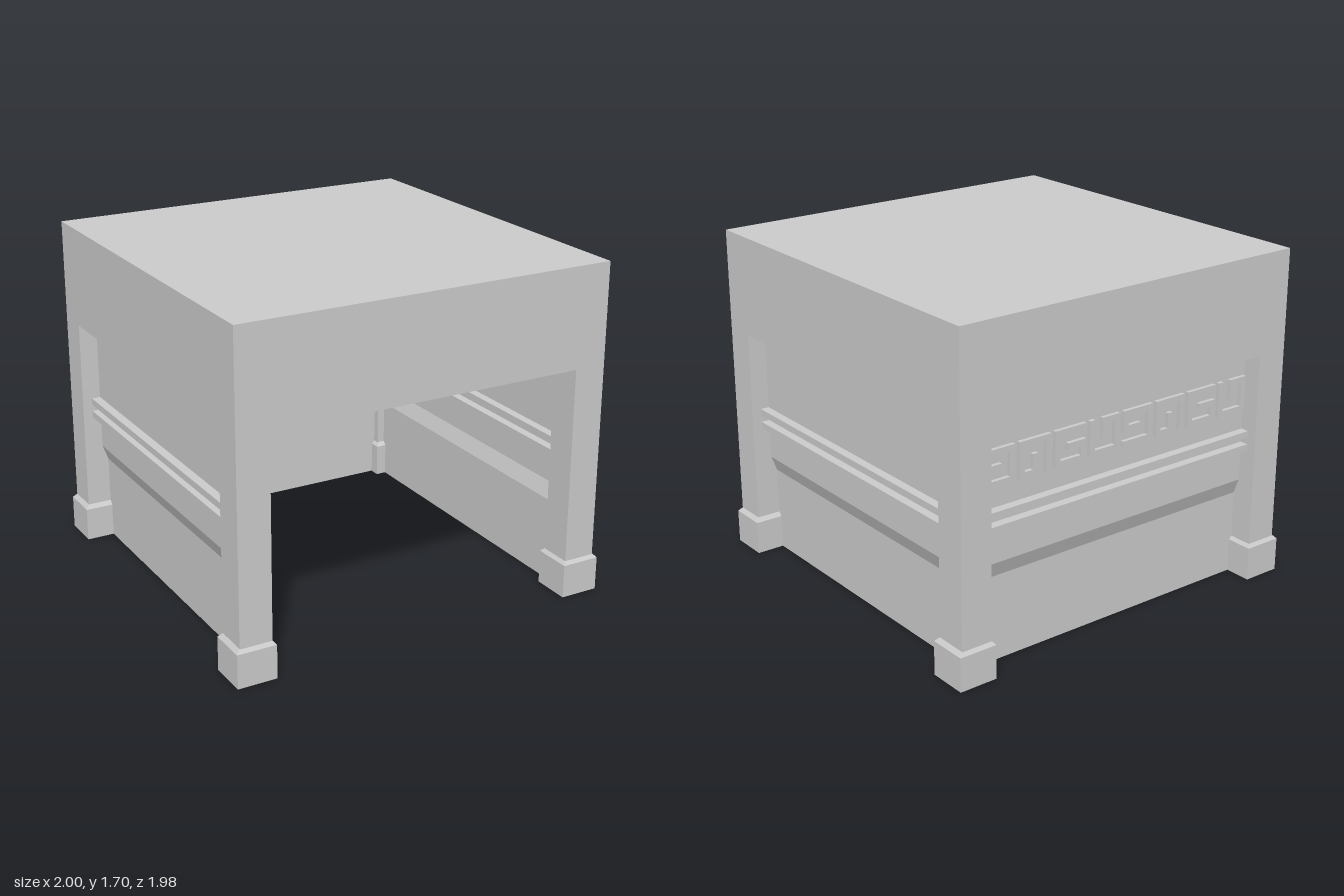
import * as THREE from 'three';

const material = new THREE.MeshStandardMaterial({ color: 0xcccccc, flatShading: true });
const sheet = new THREE.MeshStandardMaterial({ color: 0xcccccc, flatShading: true, side: THREE.DoubleSide });

function add(parent, name, geometry, x = 0, y = 0, z = 0, mat = material) {
  const mesh = new THREE.Mesh(geometry, mat);
  mesh.name = name;
  mesh.position.set(x, y, z);
  parent.add(mesh);
  return mesh;
}

// Folded wall section as [outward offset, height]: skirt, sloped step, two ribs, upper field
const wallProfile = [
  [-0.03, 0], [-0.03, 0.43], [0, 0.51], [0, 0.68], [0.045, 0.68], [0.045, 0.715], [0, 0.715],
  [0, 0.75], [0.045, 0.75], [0.045, 0.785], [0, 0.785], [0, 1.19],
];

function wallGeometry(length) {
  const rows = wallProfile.length;
  const geometry = new THREE.PlaneGeometry(length, 1, 1, rows - 1);
  const pos = geometry.attributes.position;
  for (let i = 0; i < pos.count; i++) {
    const [out, y] = wallProfile[rows - 1 - Math.floor(i / 2)];
    pos.setY(i, y);
    pos.setZ(i, out);
  }
  const flat = geometry.toNonIndexed();
  flat.computeVertexNormals();
  return flat;
}

// Square spiral used in the fretwork
function fretGeometry() {
  const points = [
    [0.09, 0.09], [-0.09, 0.09], [-0.09, -0.09], [0.09, -0.09], [0.09, 0.015], [-0.015, 0.015],
    [-0.015, -0.015], [0.06, -0.015], [0.06, -0.06], [-0.06, -0.06], [-0.06, 0.06], [0.09, 0.06],
  ].map(([x, y]) => new THREE.Vector2(x, y));
  return new THREE.ExtrudeGeometry(new THREE.Shape(points), { depth: 0.02, bevelEnabled: false });
}

export function createModel() {
  const model = new THREE.Group();
  model.name = 'table';

  // Thick top block
  add(model, 'top', new THREE.BoxGeometry(1.96, 0.51, 1.95), 0, 1.445, 0);

  // Four legs on stepped feet
  const bevel = new THREE.CylinderGeometry(0.0825 * Math.SQRT2, 0.1 * Math.SQRT2, 0.02, 4);
  bevel.rotateY(Math.PI / 4);
  for (const sx of [-1, 1]) {
    for (const sz of [-1, 1]) {
      const corner = new THREE.Group();
      corner.name = (sz > 0 ? 'front' : 'back') + (sx > 0 ? 'Left' : 'Right') + 'Leg';
      add(corner, 'post', new THREE.BoxGeometry(0.165, 1.02, 0.165), sx * 0.8975, 0.68, sz * 0.8925);
      add(corner, 'foot', new THREE.BoxGeometry(0.2, 0.172, 0.2), sx * 0.9, 0.086, sz * 0.89);
      add(corner, 'footBevel', bevel, sx * 0.9, 0.182, sz * 0.89);
      model.add(corner);
    }
  }

  // Walls on both sides and the back; the front stays open
  for (const s of [-1, 1]) {
    const side = add(model, s > 0 ? 'leftWall' : 'rightWall', wallGeometry(1.62), s * 0.885, 0, 0, sheet);
    side.rotation.y = s * Math.PI / 2;
  }
  const back = new THREE.Group();
  back.name = 'back';
  back.position.z = -0.88;
  back.rotation.y = Math.PI;
  add(back, 'backWall', wallGeometry(1.63), 0, 0, 0, sheet);

  // Row of spirals, each turned a quarter from the last
  const fret = fretGeometry();
  for (let i = 0; i < 8; i++) {
    const spiral = add(back, 'fretSpiral', fret, (i - 3.5) * 0.204, 0.98, 0);
    spiral.rotation.z = Math.PI + i * Math.PI / 2;
  }
  model.add(back);
  return model;
}
